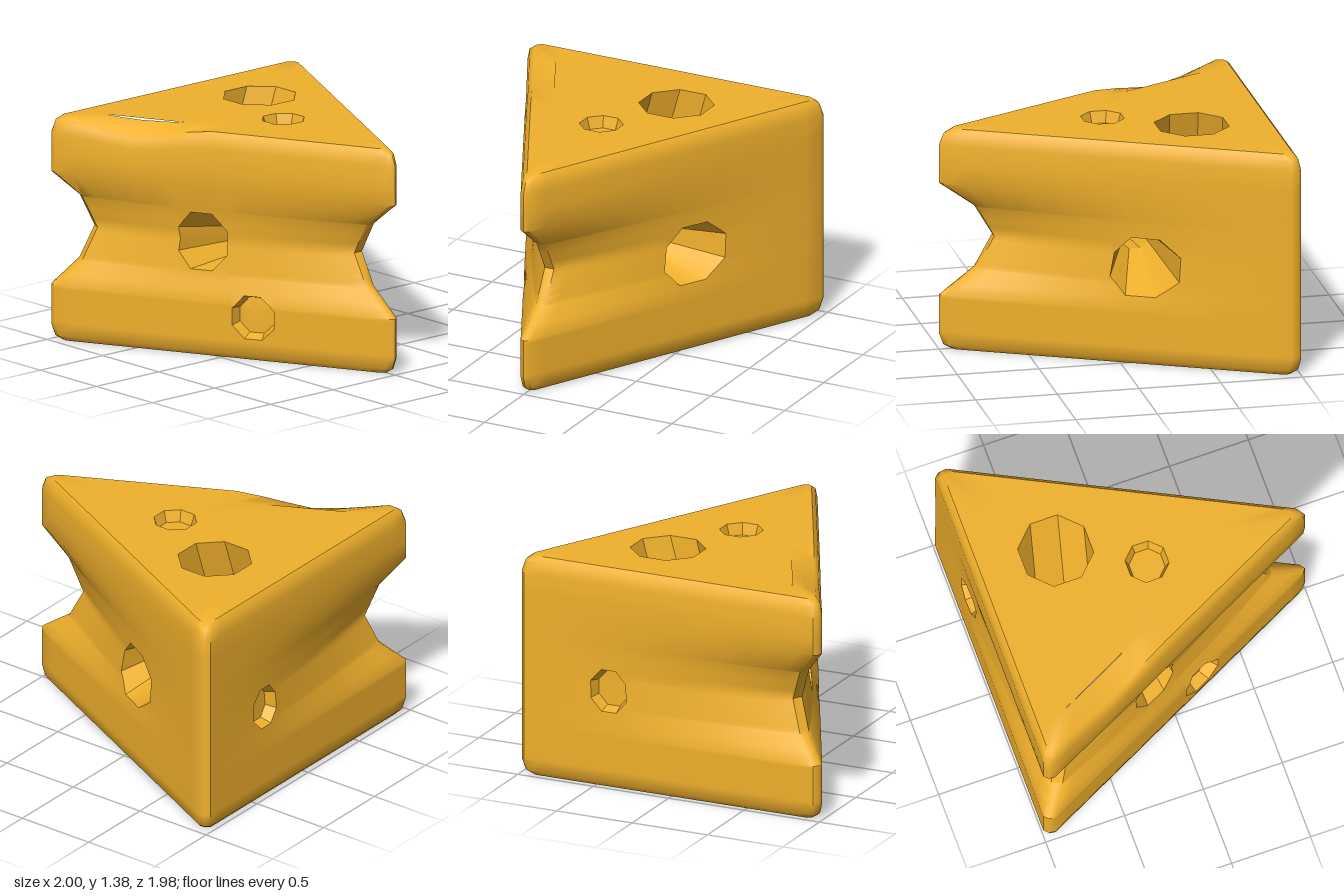
import * as THREE from 'three';
import { toCreasedNormals } from 'three/addons/utils/BufferGeometryUtils.js';

const V = (x, y, z) => new THREE.Vector3(x, y, z);
const HEIGHT = 1.385, MIDDLE = [-0.33, 0];

// Corners of the wedge (x, z): sharp, clipped, and how far the waist pulls each in
const CORNERS = [
  { sharp: [-1, 1.02], clipped: [-0.975, 0.985], pull: [0.16, -0.22] },
  { sharp: [1.04, 0], clipped: [1, 0], pull: [-0.33, 0] },
  { sharp: [-1, -1.02], clipped: [-0.975, -0.985], pull: [0, 0] },
];
// [y, value] tables: waist strength and size of the level (bevelled rims)
const WAIST = [[0.345, 0], [0.5, 0.65], [0.695, 1], [0.89, 0.65], [1.045, 0]];
const SIZE = [[0, 0.94], [0.03, 0.98], [0.1, 1], [1.285, 1], [1.355, 0.98], [HEIGHT, 0.94]];

function lookUp(table, y) {
  if (y <= table[0][0]) return table[0][1];
  for (let i = 1; i < table.length; i++) {
    const [y0, a] = table[i - 1], [y1, b] = table[i];
    if (y <= y1) return a + (b - a) * (y - y0) / (y1 - y0);
  }
  return table[table.length - 1][1];
}

// Shallow dent along the upper front edge
function dented(p) {
  const dx = p.x + 0.5, dz = p.z - 0.75;
  const along = (2 * dx - dz) / 2.236, across = (dx + 2 * dz) / 2.236;
  const d = Math.max(0, 1 - Math.hypot(along / 0.45, across / 0.18));
  p.y -= 0.08 * d * Math.max(0, (p.y - 1) / (HEIGHT - 1));
  return p;
}

// Point on the side: u runs round the wedge, 0-1 front, 1-2 back, 2-3 left end
function sidePoint(u, y, scale = lookUp(SIZE, y)) {
  const f = Math.floor(u + 1e-9), t = u - f;
  const a = CORNERS[f % 3], b = CORNERS[(f + 1) % 3], w = lookUp(WAIST, y);
  const [x, z] = [0, 1].map((k) => {
    const base = t < 1e-6 ? a.clipped[k] : a.sharp[k] * (1 - t) + b.sharp[k] * t;
    const p = base + w * (a.pull[k] * (1 - t) ** 2 + b.pull[k] * t ** 2);
    return MIDDLE[k] + (p - MIDDLE[k]) * scale;
  });
  return dented(V(x, y, z));
}

// Triangle collector
class Skin {
  constructor() { this.data = []; }
  tri(a, b, c) {
    if (a.distanceTo(b) < 1e-6 || b.distanceTo(c) < 1e-6 || c.distanceTo(a) < 1e-6) return;
    for (const p of [a, b, c]) this.data.push(p.x, p.y, p.z);
  }
  quad(a, b, c, d) { this.tri(a, b, c); this.tri(a, c, d); }
  // Closed band between two loops of equal length
  strip(A, B) {
    A.forEach((p, i) => { const j = (i + 1) % A.length; this.quad(p, A[j], B[j], B[i]); });
  }
  mesh(name, material, crease) {
    const g = new THREE.BufferGeometry();
    g.setAttribute('position', new THREE.Float32BufferAttribute(this.data, 3));
    const m = new THREE.Mesh(toCreasedNormals(g, crease), material);
    m.name = name;
    return m;
  }
}

// Octagon with flat sides at distance 1, in direction a
function octagon(a) {
  const step = Math.PI / 4, k = a - Math.round(a / step) * step;
  return [Math.cos(a) / Math.cos(k), Math.sin(a) / Math.cos(k)];
}

// Holes in the sides: centre (u, y), radii, and inward direction for shallow pits
const SIDE_HOLES = [
  { name: 'frontTunnel', u: 0.426, y: 0.695, ru: 0.086, ry: 0.175, turn: 1 },
  { name: 'backTunnel', u: 1.55, y: 0.61, ru: 0.103, ry: 0.18, turn: -1 },
  { name: 'frontPit', u: 0.588, y: 0.265, ru: 0.059, ry: 0.13, inward: V(-0.447, 0, -0.894) },
  { name: 'endPit', u: 2.31, y: 0.61, ru: 0.059, ry: 0.13, inward: V(1, 0, 0) },
];
const BLOCK = [-1.12, -0.464, 0.464, 1.12];

const sorted = (list) => list.sort((a, b) => a - b).filter((v, i, l) => !i || v - l[i - 1] > 1e-4);
const nearest = (list, v) => list.reduce((n, x, i) => (Math.abs(x - v) < Math.abs(list[n] - v) ? i : n), 0);

function buildSides(skin) {
  const us = [], ys = [...SIZE, ...WAIST].map((r) => r[0]).concat(0.22, 1.16);
  for (let f = 0; f < 3; f++) {
    for (const t of [0, 0.03, 0.08, 0.16, 0.25, 0.34, 0.5, 0.68, 0.76, 0.86, 0.92, 0.97]) us.push(f + t);
  }
  for (const h of SIDE_HOLES) for (const b of BLOCK) { us.push(h.u + b * h.ru); ys.push(h.y + b * h.ry); }
  const U = sorted(us), Y = sorted(ys);
  const blocks = SIDE_HOLES.map((h) => ({
    h,
    i0: nearest(U, h.u - 1.12 * h.ru), i1: nearest(U, h.u + 1.12 * h.ru),
    j0: nearest(Y, h.y - 1.12 * h.ry), j1: nearest(Y, h.y + 1.12 * h.ry),
  }));
  const at = (i, j) => sidePoint(U[i % U.length], Y[j]);
  for (let i = 0; i < U.length; i++) {
    for (let j = 0; j < Y.length - 1; j++) {
      if (blocks.some((b) => i >= b.i0 && i < b.i1 && j >= b.j0 && j < b.j1)) continue;
      skin.quad(at(i, j), at(i + 1, j), at(i + 1, j + 1), at(i, j + 1));
    }
  }
  // Join each left-out block to its octagonal rim
  for (const { h, i0, i1, j0, j1 } of blocks) {
    const walk = [];
    for (let i = i0; i < i1; i++) walk.push([i, j0]);
    for (let j = j0; j < j1; j++) walk.push([i1, j]);
    for (let i = i1; i > i0; i--) walk.push([i, j1]);
    for (let j = j1; j > j0; j--) walk.push([i0, j]);
    h.angles = walk.map(([i, j]) => Math.atan2((Y[j] - h.y) / h.ry, (U[i] - h.u) / h.ru));
    h.rim = h.angles.map((a) => {
      const [c, s] = octagon(a);
      return sidePoint(h.u + c * h.ru, h.y + s * h.ry);
    });
    skin.strip(walk.map(([i, j]) => at(i, j)), h.rim);
  }
  return U;
}

// Horizontal octagon loop, counter-clockwise seen from above
const flatRing = (x, y, z, r) => Array.from({ length: 8 }, (_, i) => {
  const [c, s] = octagon((i + 0.5) * Math.PI / 4);
  return V(x + c * r, y, z - s * r);
});

// Top or bottom: bordering band, then a flat sheet with holes
function buildCap(skin, U, y, holes) {
  const up = y > 0, inner = U.map((u) => sidePoint(u, y, 0.72));
  const outer = U.map((u) => sidePoint(u, y));
  if (up) skin.strip(outer, inner); else skin.strip(inner, outer);
  const flat = (loop) => loop.map((p) => new THREE.Vector2(p.x, -p.z));
  const shape = new THREE.Shape(flat(inner));
  shape.holes = holes.map((loop) => new THREE.Path(flat(loop)));
  const g = new THREE.ShapeGeometry(shape).toNonIndexed(), pos = g.attributes.position;
  for (let i = 0; i < pos.count; i += 3) {
    const [a, b, c] = [0, 1, 2].map((k) => V(pos.getX(i + k), y, -pos.getY(i + k)));
    if (up) skin.tri(a, b, c); else skin.tri(a, c, b);
  }
}

// Shallow tapered pit with a flat floor
function buildPit(skin, rim, inward) {
  const centre = rim.reduce((s, p) => s.add(p), V(0, 0, 0)).divideScalar(rim.length);
  const floor = centre.clone().addScaledVector(inward, 0.07);
  const inner = rim.map((p) => floor.clone().addScaledVector(p.clone().sub(centre), 0.82));
  skin.strip(rim, inner);
  skin.strip(inner, inner.map(() => floor));
}

export function createModel() {
  const group = new THREE.Group();
  const material = new THREE.MeshStandardMaterial({ color: 0xf0b02c });

  // Wedge skin
  const body = new Skin();
  const U = buildSides(body);
  const topRing = flatRing(-0.49, HEIGHT, -0.25, 0.21);
  const bottomRing = flatRing(-0.55, 0, 0.16, 0.21);
  const pitRing = flatRing(0, HEIGHT, 0, 0.122);
  buildCap(body, U, HEIGHT, [topRing, pitRing]);
  buildCap(body, U, 0, [bottomRing]);
  group.add(body.mesh('wedge', material, 0.75));

  // Slanting shaft from top to bottom
  const shaft = new Skin();
  shaft.strip(topRing, bottomRing);
  group.add(shaft.mesh('verticalTunnel', material, 0.6));

  const topPit = new Skin();
  buildPit(topPit, pitRing, V(0, -1, 0));
  group.add(topPit.mesh('topPit', material, 0.6));

  // Side pits, and two tunnels that narrow and meet inside
  for (const h of SIDE_HOLES) {
    const hole = new Skin();
    if (h.inward) buildPit(hole, h.rim, h.inward);
    else {
      hole.strip(h.rim, h.angles.map((a) => {
        const [c, s] = octagon(a);
        return V(-0.185 + 0.08 * c * h.turn, 0.635 + 0.07 * s, -0.05);
      }));
    }
    group.add(hole.mesh(h.name, material, 0.6));
  }
  return group;
}
